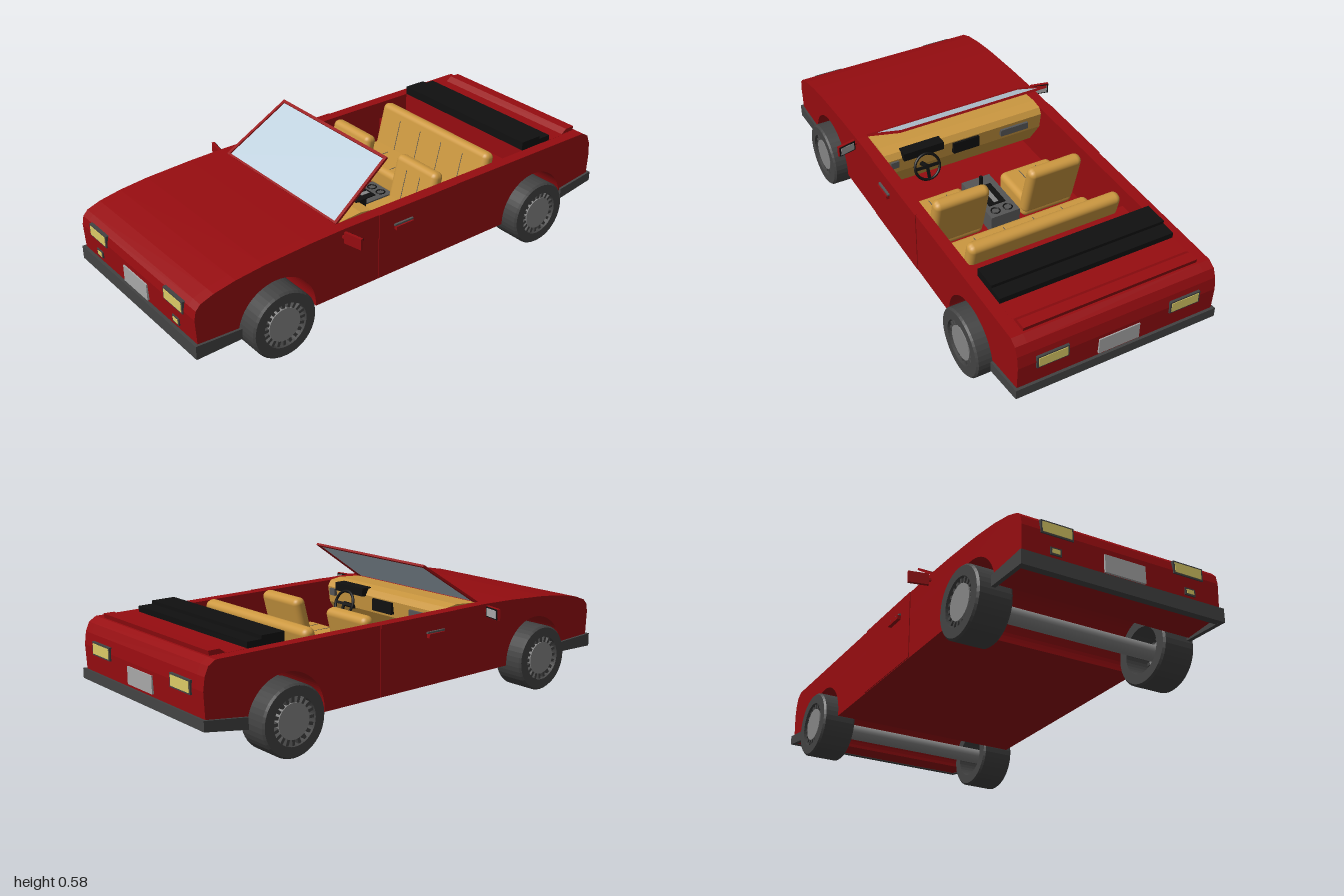
import * as THREE from 'three';
import { RoundedBoxGeometry } from 'three/addons/geometries/RoundedBoxGeometry.js';

const mat = (color, extra = {}) => new THREE.MeshStandardMaterial({ color, ...extra });
const RED = mat(0x960c10), RUBBER = mat(0x434343), BLACK = mat(0x101010), GREY = mat(0x858585);
const TAN = mat(0xcc9840), LAMP = mat(0xdccb66), PLATE = mat(0xa8a8a8), PANEL = mat(0x555555);
const GLASS = mat(0xbdcfdc, { side: THREE.DoubleSide });

export function createModel() {
  const car = new THREE.Group();
  car.name = 'convertible';

  const add = (name, geometry, material, x = 0, y = 0, z = 0, parent = car) => {
    const mesh = new THREE.Mesh(geometry, material);
    mesh.name = name;
    mesh.position.set(x, y, z);
    parent.add(mesh);
    return mesh;
  };
  const box = (name, material, w, h, d, x, y, z, parent) =>
    add(name, new THREE.BoxGeometry(w, h, d), material, x, y, z, parent);
  // Side profile in (z, y), extruded across the car from x0 to x1
  const across = (name, shape, x0, x1, material) => {
    const s = Array.isArray(shape) ? new THREE.Shape(shape.map(p => new THREE.Vector2(...p))) : shape;
    const g = new THREE.ExtrudeGeometry(s, { depth: x1 - x0, bevelEnabled: false, curveSegments: 20 });
    return add(name, g.rotateY(-Math.PI / 2).translate(x1, 0, 0), material);
  };

  // Body: one profile with open wheel arches, the middle one cut down for the cockpit
  const bodyShape = cockpit => {
    const s = new THREE.Shape();
    s.moveTo(0.985, 0.15);
    s.lineTo(0.82, 0.137);
    s.absarc(0.65, 0.137, 0.17, 0, Math.PI, false);
    s.lineTo(0.48, 0.125);
    s.lineTo(-0.48, 0.125);
    s.absarc(-0.65, 0.137, 0.17, 0, Math.PI, false);
    const rear = [[-0.985, 0.165], [-0.992, 0.3], [-0.985, 0.35], [-0.97, 0.385], [-0.94, 0.403]];
    const opening = [[-0.62, 0.405], [-0.62, 0.325], [-0.462, 0.325], [-0.462, 0.145], [0.34, 0.145]];
    const hood = [[0.34, 0.405], [0.5, 0.4], [0.7, 0.388], [0.82, 0.374], [0.91, 0.356],
      [0.965, 0.336], [0.985, 0.315], [0.992, 0.28]];
    for (const p of [...rear, ...(cockpit ? opening : []), ...hood]) s.lineTo(...p);
    s.closePath();
    return s;
  };
  across('bodyCentre', bodyShape(true), -0.365, 0.365, RED);
  across('bodySideLeft', bodyShape(false), 0.365, 0.412, RED);
  across('bodySideRight', bodyShape(false), -0.412, -0.365, RED);
  across('spoiler', [[-0.86, 0.4], [-0.93, 0.4], [-0.935, 0.421], [-0.89, 0.421]], -0.36, 0.36, RED);

  // Bumpers with side returns
  const frontSide = [[1, 0.18], [1, 0.125], [0.81, 0.13], [0.81, 0.172]];
  const rearSide = [[-1, 0.205], [-1, 0.165], [-0.82, 0.135], [-0.82, 0.18]];
  for (const [x0, x1] of [[0.405, 0.422], [-0.422, -0.405]]) {
    across('frontBumperReturn', frontSide, x0, x1, RUBBER);
    across('rearBumperReturn', rearSide, x0, x1, RUBBER);
  }
  across('frontBumper', [[1, 0.18], [1, 0.125], [0.97, 0.126], [0.97, 0.179]], -0.422, 0.422, RUBBER);
  across('rearBumper', [[-1, 0.205], [-1, 0.165], [-0.97, 0.16], [-0.97, 0.2]], -0.422, 0.422, RUBBER);

  // Lamps with dark surrounds, and blank plates
  const lamp = (name, w, h, x, y, z) => {
    const out = Math.sign(z);
    box(name + 'Surround', RUBBER, w, h, 0.016, x, y, z);
    box(name, LAMP, w - 0.014, h - 0.012, 0.016, x, y, z + out * 0.002);
  };
  for (const s of [1, -1]) {
    lamp('headlight', 0.13, 0.05, s * 0.275, 0.293, 0.988);
    lamp('foglight', 0.045, 0.028, s * 0.28, 0.212, 0.985);
    lamp('tailLight', 0.13, 0.052, s * 0.275, 0.3, -0.99);
  }
  box('frontPlate', PLATE, 0.17, 0.068, 0.012, 0, 0.224, 0.99);
  box('rearPlate', PLATE, 0.17, 0.068, 0.012, 0, 0.25, -0.99);

  // Doors, handles and mirrors
  for (const s of [1, -1]) {
    box('door', RED, 0.012, 0.277, 0.395, s * 0.409, 0.2665, -0.015);
    box('doorHandle', PANEL, 0.012, 0.007, 0.09, s * 0.418, 0.339, 0.065);
    box('doorHandle', RED, 0.018, 0.016, 0.085, s * 0.421, 0.327, 0.065);
    const mirror = new THREE.Group();
    mirror.name = 'mirror';
    mirror.position.set(s * 0.46, 0.376, 0.342);
    mirror.rotation.y = s * 0.22;
    car.add(mirror);
    box('mirrorShell', RED, 0.08, 0.046, 0.012, 0, 0, 0, mirror);
    box('mirrorRim', BLACK, 0.076, 0.042, 0.006, 0, 0, -0.006, mirror);
    box('mirrorGlass', PLATE, 0.064, 0.032, 0.004, 0, 0, -0.009, mirror);
    box('mirrorArm', RED, 0.03, 0.01, 0.01, -s * 0.04, 0, 0, mirror);
  }

  // Windscreen: a trapezoid frame and pane leaning back
  const lean = Math.atan2(0.27, 0.178), len = Math.hypot(0.27, 0.178);
  const trapezoid = (bottom, top, y0, y1) => [[-bottom, y0], [bottom, y0], [top, y1], [-top, y1]]
    .map(p => new THREE.Vector2(...p));
  const frame = new THREE.Shape(trapezoid(0.365, 0.332, 0, len));
  frame.holes.push(new THREE.Path(trapezoid(0.35, 0.32, 0.008, len - 0.012)));
  const screen = new THREE.Group();
  screen.name = 'windscreen';
  screen.position.set(0, 0.402, 0.348);
  screen.rotation.x = -lean;
  car.add(screen);
  add('windscreenFrame', new THREE.ExtrudeGeometry(frame, { depth: 0.009, bevelEnabled: false }),
    RED, 0, 0, -0.004, screen);
  add('windscreenGlass', new THREE.ShapeGeometry(new THREE.Shape(trapezoid(0.351, 0.321, 0.007, len - 0.011))),
    GLASS, 0, 0, 0, screen);

  // Folded soft top in overlapping layers
  box('foldedTop', BLACK, 0.73, 0.03, 0.16, 0, 0.412, -0.7);
  box('foldedTop', BLACK, 0.73, 0.026, 0.1, 0, 0.427, -0.67);

  // Seats: cushion and leaning backrest with dark seams
  const seat = (name, x, z, w, depth, seams) => {
    const g = new THREE.Group();
    g.name = name;
    g.position.set(x, 0, z);
    car.add(g);
    add('cushion', new RoundedBoxGeometry(w, 0.1, depth, 3, 0.025), TAN, 0, 0.2, depth / 2 - 0.02, g);
    const back = new THREE.Group();
    back.name = 'backrest';
    back.position.set(0, 0.2, 0);
    back.rotation.x = -0.25;
    g.add(back);
    add('backPad', new RoundedBoxGeometry(w, 0.25, 0.055, 3, 0.024), TAN, 0, 0.1, 0, back);
    for (let i = 0; i < seams; i++) {
      const sx = w * ((i + 1) / (seams + 1) - 0.5);
      box('seam', PANEL, 0.003, 0.14, 0.002, sx, 0.11, 0.027, back);
      box('seam', PANEL, 0.003, 0.002, depth * 0.5, sx, 0.25, depth / 2, g);
    }
  };
  for (const s of [1, -1]) seat('frontSeat', s * 0.21, -0.145, 0.24, 0.21, 2);
  seat('rearSeat', 0, -0.425, 0.66, 0.2, 4);

  // Dashboard with instruments, vent and glovebox
  across('dashboard', [[0.34, 0.2], [0.34, 0.404], [0.23, 0.412], [0.18, 0.405], [0.165, 0.38],
    [0.175, 0.31], [0.25, 0.2]], -0.364, 0.364, TAN);
  box('instrumentHood', BLACK, 0.18, 0.035, 0.05, 0.2, 0.393, 0.17);
  box('centreVent', BLACK, 0.12, 0.05, 0.02, 0, 0.35, 0.166);
  box('glovebox', PANEL, 0.13, 0.03, 0.02, -0.23, 0.35, 0.166);
  box('sideVent', PANEL, 0.035, 0.03, 0.02, 0.325, 0.36, 0.166);

  // Steering wheel
  const steering = new THREE.Group();
  steering.name = 'steeringWheel';
  steering.position.set(0.2, 0.335, 0.12);
  steering.rotation.x = 0.35;
  car.add(steering);
  add('steeringRim', new THREE.TorusGeometry(0.055, 0.006, 8, 28), BLACK, 0, 0, 0, steering);
  box('steeringSpoke', BLACK, 0.105, 0.012, 0.008, 0, 0, 0, steering);
  box('steeringSpoke', BLACK, 0.012, 0.052, 0.008, 0, -0.026, 0, steering);
  add('steeringColumn', new THREE.CylinderGeometry(0.01, 0.01, 0.08, 12).rotateX(Math.PI / 2),
    BLACK, 0, 0, 0.04, steering);

  // Centre console with tray, knobs and gear lever
  box('console', PANEL, 0.13, 0.08, 0.26, 0, 0.185, -0.05);
  box('consoleTray', BLACK, 0.075, 0.006, 0.13, 0, 0.226, -0.045);
  box('consoleTrim', GREY, 0.02, 0.008, 0.11, 0, 0.227, -0.045);
  box('gearLever', BLACK, 0.012, 0.05, 0.012, 0, 0.245, 0.03);
  for (const s of [1, -1])
    add('cupHolder', new THREE.TorusGeometry(0.018, 0.003, 6, 20).rotateX(Math.PI / 2), BLACK, s * 0.028, 0.226, -0.145);

  // Wheels: open tyre ring, hub and short spokes with gaps between
  const tyre = [[0.092, -0.07], [0.13, -0.07], [0.137, -0.062], [0.137, 0.062], [0.13, 0.07], [0.092, 0.07], [0.092, -0.07]]
    .map(p => new THREE.Vector2(...p));
  const tyreGeo = new THREE.LatheGeometry(tyre.reverse(), 40).rotateZ(-Math.PI / 2);
  const tyreMat = mat(0x434343, { side: THREE.DoubleSide, flatShading: true });
  for (const z of [0.65, -0.65]) {
    for (const s of [1, -1]) {
      const wheel = new THREE.Group();
      wheel.name = 'wheel';
      wheel.position.set(s * 0.389, 0.137, z);
      wheel.rotation.y = s > 0 ? 0 : Math.PI;
      car.add(wheel);
      add('tyre', tyreGeo, tyreMat, 0, 0, 0, wheel);
      add('hub', new THREE.CylinderGeometry(0.068, 0.06, 0.05, 32).rotateZ(-Math.PI / 2), GREY, 0.04, 0, 0, wheel);
      for (let i = 0; i < 20; i++) {
        const a = i / 20 * Math.PI * 2;
        const spoke = box('spoke', RUBBER, 0.03, 0.03, 0.012, 0.045, Math.cos(a) * 0.08, Math.sin(a) * 0.08, wheel);
        spoke.rotation.x = a;
      }
    }
    add('axle', new THREE.CylinderGeometry(0.032, 0.032, 0.8, 20).rotateZ(Math.PI / 2), GREY, 0, 0.137, z);
  }
  return car;
}
